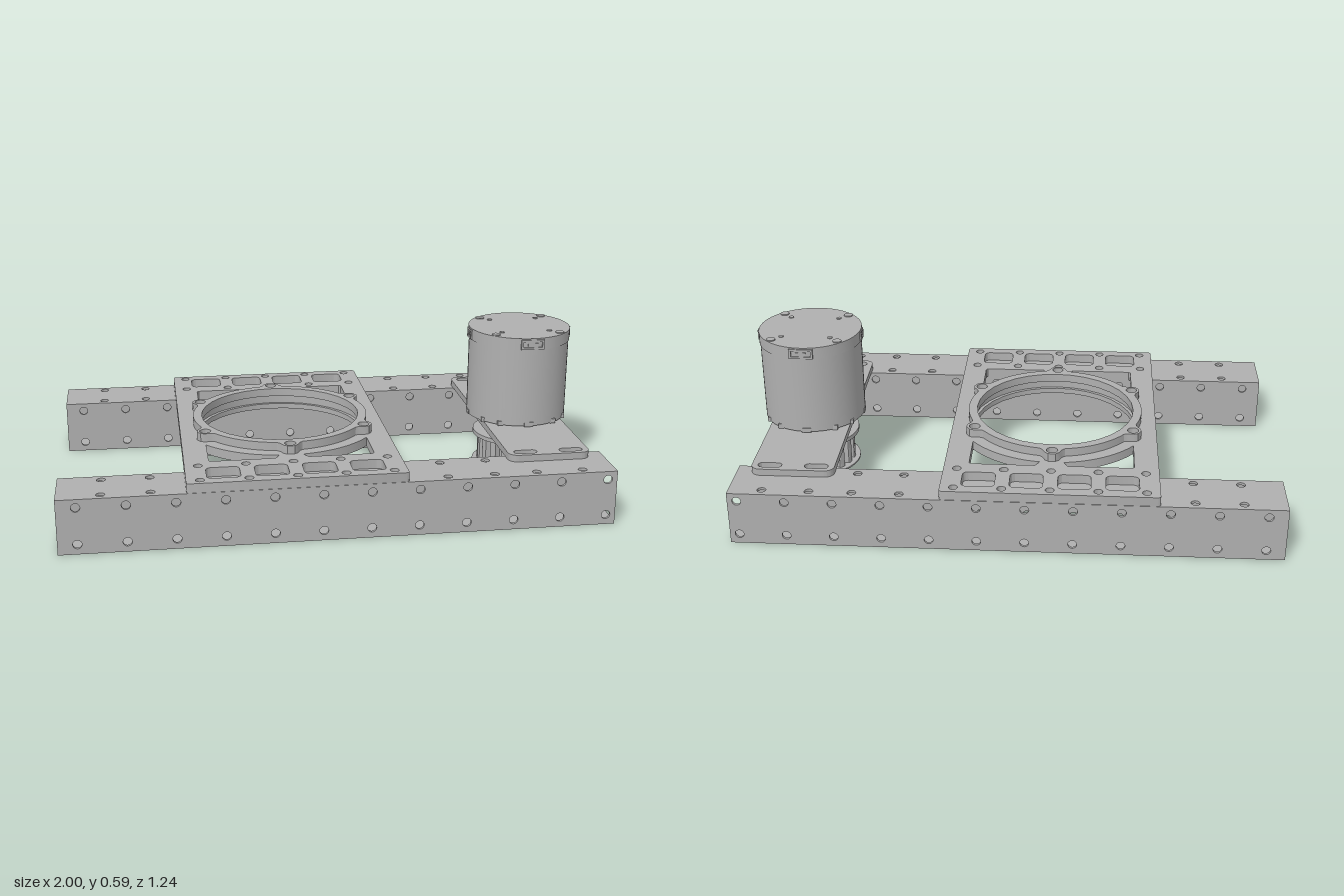
import * as THREE from 'three';
import { toCreasedNormals } from 'three/addons/utils/BufferGeometryUtils.js';

const grey = new THREE.MeshStandardMaterial({ color: 0xb0b0b0 });
grey.name = 'aluminium grey';

const TAU = Math.PI * 2;
const CX = -0.157; // bearing centre
const MX = 0.791; // motor centre

function add(parent, geo, name, x = 0, y = 0, z = 0) {
  const m = new THREE.Mesh(geo, grey);
  m.name = name;
  m.position.set(x, y, z);
  parent.add(m);
  return m;
}

function circle(x, y, r) {
  return new THREE.Path().absarc(x, y, r, 0, TAU, true);
}

// rectangle with optional round corners, usable as outline or hole
function rect(cx, cy, w, h, r = 0, Type = THREE.Path) {
  const p = new Type(), a = w / 2, b = h / 2;
  if (!r) {
    return p.setFromPoints([[-a, -b], [a, -b], [a, b], [-a, b]].map(([x, y]) => new THREE.Vector2(cx + x, cy + y)));
  }
  p.absarc(cx + a - r, cy - b + r, r, -Math.PI / 2, 0);
  p.absarc(cx + a - r, cy + b - r, r, 0, Math.PI / 2);
  p.absarc(cx - a + r, cy + b - r, r, Math.PI / 2, Math.PI);
  p.absarc(cx - a + r, cy - b + r, r, Math.PI, Math.PI * 1.5);
  p.closePath();
  return p;
}

function polar(fn, n, Type = THREE.Path) {
  const pts = [];
  for (let i = 0; i < n; i++) {
    const t = (i / n) * TAU, r = fn(t);
    pts.push(new THREE.Vector2(r * Math.cos(t), r * Math.sin(t)));
  }
  return new Type(pts);
}

function extrude(shape, depth, crease = 0.5) {
  const g = new THREE.ExtrudeGeometry(shape, { depth, bevelEnabled: false, curveSegments: 16 });
  return toCreasedNormals(g, crease);
}

// lay an outline flat and extrude it upward
function slab(shape, depth, crease) {
  return extrude(shape, depth, crease).rotateX(-Math.PI / 2);
}

// square tube made of four drilled walls
function rail(side) {
  const g = new THREE.Group();
  g.name = side > 0 ? 'frontRail' : 'backRail';
  const zc = 0.517 * side, wall = 0.01, size = 0.205;
  const topXs = [-0.845, -0.673, -0.501, -0.329, -0.157, 0.015, 0.187, 0.382, 0.553, 0.708, 0.879];
  const flat = rect(0, 0, 2, size, 0, THREE.Shape);
  for (const x of topXs) for (const z of [-0.069, 0.069]) flat.holes.push(circle(x, z, 0.016));
  const upright = rect(0, size / 2, 2, size - 2 * wall, 0, THREE.Shape);
  for (let i = 0; i < 12; i++) {
    for (const y of [0.037, 0.174]) upright.holes.push(circle(-0.931 + i * 0.1724, y, 0.016));
  }
  add(g, slab(flat, wall), 'railBottom', 0, 0, zc);
  add(g, slab(flat, wall), 'railTop', 0, size - wall, zc);
  add(g, extrude(upright, wall), 'railSide', 0, 0, zc - size / 2);
  add(g, extrude(upright, wall), 'railSide', 0, 0, zc + size / 2 - wall);
  return g;
}

function bearing() {
  const g = new THREE.Group();
  g.name = 'bearingMount';
  g.position.x = CX;
  const boltHoles = [];
  for (let i = 0; i < 6; i++) {
    const a = Math.PI / 6 + (i * Math.PI) / 3;
    boltHoles.push(circle(0.348 * Math.cos(a), 0.348 * Math.sin(a), 0.021));
  }

  // plate with pockets, screw holes and four corner windows
  const plate = rect(0, 0, 0.786, 1.235, 0.012, THREE.Shape);
  plate.holes.push(circle(0, 0, 0.325), ...boltHoles);
  for (const s of [-1, 1]) {
    for (let i = 0; i < 4; i++) plate.holes.push(rect(-0.259 + i * 0.1727, 0.524 * s, 0.12, 0.102, 0.02));
    for (let i = -2; i <= 2; i++) {
      for (const z of [0.448, 0.586]) plate.holes.push(circle(i * 0.172, z * s, 0.016));
    }
    for (const sx of [-1, 1]) {
      const pts = [[0.06, 0.41], [0.296, 0.41], [0.303, 0.403]];
      for (let i = 0; i <= 12; i++) {
        const a = 0.665 + (i / 12) * 0.79;
        pts.push([0.385 * Math.cos(a), 0.385 * Math.sin(a)]);
      }
      plate.holes.push(new THREE.Path(pts.map(([x, y]) => new THREE.Vector2(x * sx, y * s))));
    }
  }
  add(g, slab(plate, 0.035), 'bearingPlate', 0, 0.205);

  // clamp rings with six bolt lobes
  const lobed = (t) => {
    const step = Math.PI / 3;
    const d = ((t + TAU) % step) - step / 2;
    return 0.338 + 0.04 * Math.exp(-Math.pow(d / 0.095, 4));
  };
  for (const [name, y, h, bore] of [['upperClampRing', 0.24, 0.032, 0.305], ['lowerClampRing', 0.184, 0.021, 0.312]]) {
    const ring = polar(lobed, 180, THREE.Shape);
    ring.holes.push(circle(0, 0, bore), ...boltHoles);
    add(g, slab(ring, h), name, 0, y);
  }
  return g;
}

function motor() {
  const g = new THREE.Group();
  g.name = 'motorUnit';
  g.position.x = MX;

  // slotted mounting plate
  const plate = rect(0, 0, 0.307, 0.965, 0.035, THREE.Shape);
  for (const x of [-0.086, 0.086]) {
    for (const z of [-0.448, 0.448]) plate.holes.push(rect(x, z, 0.088, 0.033, 0.0164));
  }
  add(g, slab(plate, 0.026), 'motorPlate', 0, 0.205);

  // can, turned as one profile
  const profile = [[0, 0.23], [0.15, 0.23], [0.15, 0.238], [0.194, 0.238], [0.194, 0.545], [0.197, 0.545], [0.197, 0.59], [0, 0.59]];
  const can = new THREE.LatheGeometry(profile.map(([x, y]) => new THREE.Vector2(x, y)), 64);
  add(g, toCreasedNormals(can, 0.5), 'motorCan');

  // screws and small pins on the cap
  for (const sx of [-1, 1]) {
    for (const sz of [-1, 1]) {
      add(g, new THREE.CylinderGeometry(0.017, 0.017, 0.006, 16), 'capScrew', 0.126 * sx, 0.591, 0.126 * sz);
      add(g, new THREE.CylinderGeometry(0.01, 0.01, 0.004, 12), 'capPin', 0.094 * sx, 0.591, 0.094 * sz);
    }
  }

  // connectors near the top, feet around the base
  for (let i = 0; i < 4; i++) {
    const side = new THREE.Group();
    side.name = 'motorSide';
    side.rotation.y = (i * Math.PI) / 2;
    g.add(side);
    const w = i % 2 ? 0.056 : 0.09;
    const frame = rect(0, 0, w, 0.038, 0, THREE.Shape);
    frame.holes.push(rect(0, 0, w - 0.016, 0.022));
    add(side, extrude(frame, 0.012), 'connectorFrame', 0, 0.566, 0.188);
    for (const s of [-1, 1]) add(side, new THREE.BoxGeometry(0.01, 0.012, 0.006), 'connectorPin', 0.014 * s, 0.566, 0.197);
    add(side, new THREE.BoxGeometry(0.035, 0.018, 0.012), 'baseTab', 0, 0.244, 0.19);
    for (const s of [-1, 1]) add(side, new THREE.BoxGeometry(0.02, 0.018, 0.025), 'baseTab', 0.105 * s, 0.244, 0.155);
  }

  // drive pulley under the plate, with a splined bore
  const bore = polar((t) => (Math.cos(8 * t) > 0 ? 0.085 : 0.06), 128);
  const disc = (r) => {
    const s = new THREE.Shape().absarc(0, 0, r, 0, TAU);
    s.holes.push(bore);
    return s;
  };
  const teeth = polar((t) => 0.134 + 0.011 * THREE.MathUtils.clamp(2.5 * Math.cos(18 * t) + 0.8, -1, 1), 216, THREE.Shape);
  teeth.holes.push(bore);
  add(g, new THREE.CylinderGeometry(0.119, 0.119, 0.046, 48), 'pulleyHub', 0, 0.183);
  add(g, slab(disc(0.165), 0.016), 'pulleyUpperFlange', 0, 0.145);
  add(g, slab(teeth, 0.114, 0.4), 'pulleyTeeth', 0, 0.031);
  add(g, slab(disc(0.165), 0.006), 'pulleyLowerFlange', 0, 0.025);
  return g;
}

export function createModel() {
  const model = new THREE.Group();
  model.name = 'bearingAndMotorFrame';
  model.add(rail(1), rail(-1), bearing(), motor());
  return model;
}
